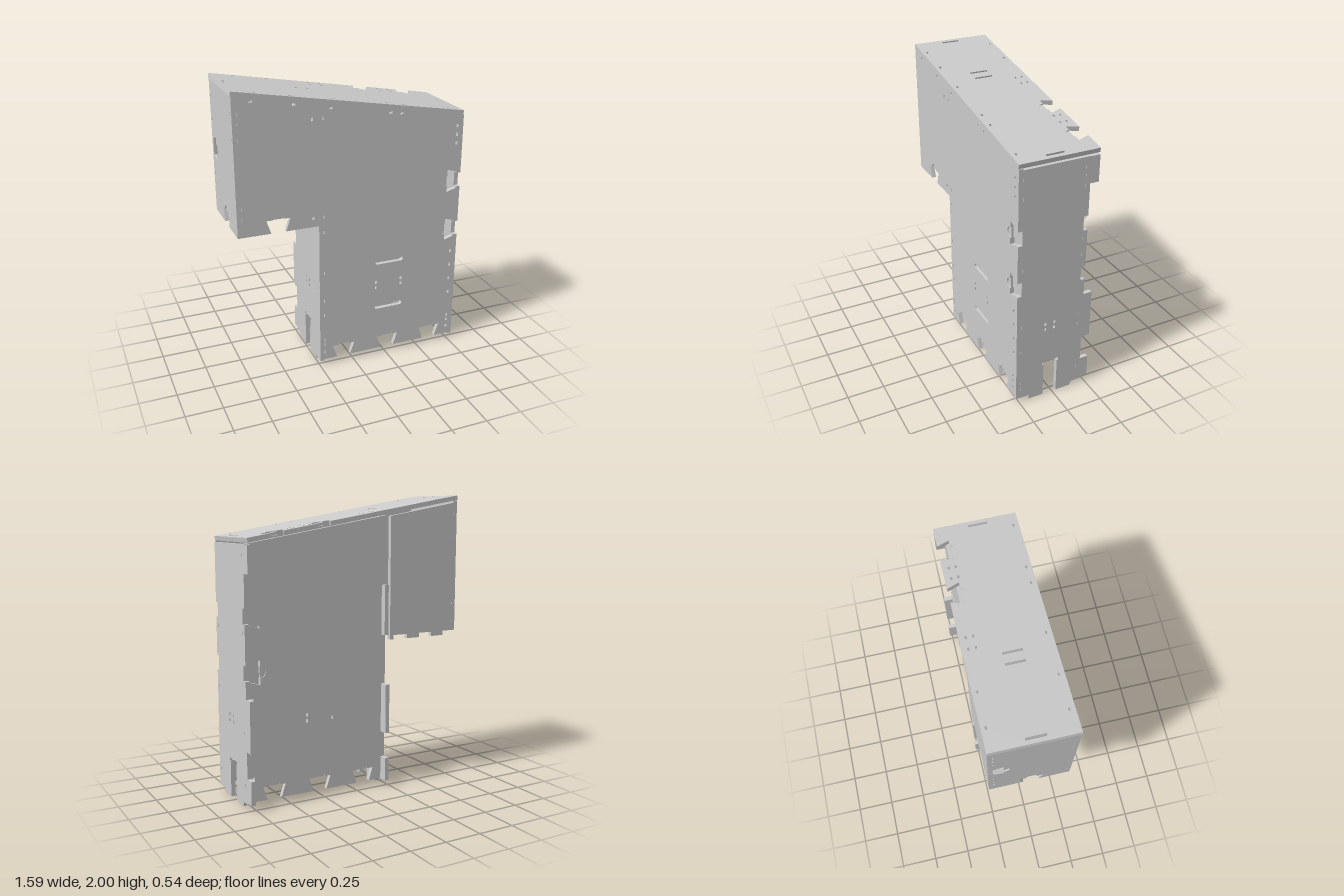
import * as THREE from 'three';

const T = 0.03; // sheet thickness
const mat = new THREE.MeshStandardMaterial({ color: 0xcccccc, flatShading: true, side: THREE.DoubleSide });
const vec = ([x, y]) => new THREE.Vector2(x, y);

// Dovetail notch with a half-round relief, cut into a counter-clockwise outline.
// (px,py) is its middle on the edge, (tx,ty) the direction of travel.
function dovetail(px, py, tx, ty, depth = 0.09) {
  const at = (u, v) => [px + tx * u - ty * v, py + ty * u + tx * v];
  const arc = [];
  for (let i = 0; i <= 12; i++) {
    const a = Math.PI * (1 - i / 12);
    arc.push(at(0.037 * Math.cos(a), depth + 0.037 * Math.sin(a)));
  }
  return { arc, pts: [at(-0.05, 0), at(-0.08, depth), ...arc, at(0.08, depth), at(0.05, 0)] };
}

function rectHole(x, y, w = 0.014, h = 0.022) {
  return new THREE.Path([[x - w / 2, y - h / 2], [x + w / 2, y - h / 2],
    [x + w / 2, y + h / 2], [x - w / 2, y + h / 2]].map(vec));
}

function roundSlot(x, y, w, r) {
  const p = new THREE.Path();
  p.absarc(x + w / 2 - r, y, r, -Math.PI / 2, Math.PI / 2);
  p.absarc(x - w / 2 + r, y, r, Math.PI / 2, Math.PI * 1.5);
  p.closePath();
  return p;
}

// Flat sheet; outline items are points or dovetails
function panel(name, outline, holes = []) {
  const group = new THREE.Group();
  group.name = name;
  const pts = outline.flatMap(o => (o.pts ? o.pts : [o]));
  const shape = new THREE.Shape(pts.map(vec));
  shape.holes.push(...holes);
  const add = (s, depth, z, n) => {
    const mesh = new THREE.Mesh(
      new THREE.ExtrudeGeometry(s, { depth, bevelEnabled: false, curveSegments: 8 }), mat);
    mesh.position.z = z;
    mesh.name = n;
    group.add(mesh);
  };
  add(shape, T, 0, name + 'Sheet');
  // half-round catch, thinner than the sheet
  for (const o of outline) if (o.arc) add(new THREE.Shape(o.arc.map(vec)), T / 2, T / 4, name + 'Catch');
  return group;
}

const column = (x, ys) => ys.map(y => rectHole(x, y));
const grid = (xs, ys) => xs.flatMap(x => column(x, ys));

// Upright sheet facing sideways: outline x becomes z, outer face at x
function sidePanel(name, x, outline, holes) {
  const p = panel(name, outline, holes);
  p.rotation.y = -Math.PI / 2;
  p.position.x = x;
  return p;
}

// Full-height side with a foot slot and stepped edges; steps are [low, high, z] from the top down
function wallOutline(top, frontCuts, backSteps) {
  return [[-0.21, 0.03], [-0.15, 0.03], [-0.135, 0], [-0.03, 0], [-0.03, 0.25], [-0.04, 0.25],
    [-0.04, 0.27], [0.08, 0.27], [0.08, 0.25], [0.07, 0.25], [0.07, 0], [0.175, 0],
    [0.175, 0.03], [0.27, 0.03],
    ...frontCuts.flatMap(([a, b]) => [[0.27, a], [0.24, a], [0.24, b], [0.27, b]]),
    [0.27, top], [-0.21, top],
    ...backSteps.flatMap(([a, b, z]) => [[-0.21, b], [z, b], [z, a], [-0.21, a]])];
}

export function createModel() {
  const model = new THREE.Group();
  model.name = 'cabinet';

  const bottomCuts = [-0.07, 0.265, 0.6].map(x => dovetail(x, 0.04, 1, 0));
  const edgeCuts = [0.885, 1.245].map(y => dovetail(0.79, y, 0, 1, 0.1));
  const bodyHoles = () => [
    ...column(-0.215, [0.1, 0.16, 0.195, 0.39, 0.5, 0.71, 1.01, 1.12, 1.78]),
    ...column(0.745, [0.1, 0.155, 0.195, 0.385, 0.495, 0.605, 0.71, 1.51, 1.57, 1.63]),
    ...grid([0.17, 0.36], [0.53, 0.57])];

  // Front sheet
  const front = panel('frontPanel', [[-0.245, 0.04], ...bottomCuts, [0.79, 0.04], ...edgeCuts,
    [0.79, 1.7], [-0.79, 1.97], [-0.79, 1.06], dovetail(-0.52, 1.06, 1, 0), [-0.245, 1.06]], [
    ...bodyHoles(),
    ...column(-0.765, [1.18, 1.25, 1.34, 1.7, 1.79, 1.86]),
    ...column(-0.285, [1.12, 1.78]),
    ...[[-0.67, 1.93], [-0.4, 1.885], [-0.16, 1.84], [0.25, 1.77], [0.33, 1.757]]
      .map(([x, y]) => rectHole(x, y, 0.022, 0.014)),
    roundSlot(0.267, 0.72, 0.21, 0.016), roundSlot(0.267, 0.375, 0.21, 0.016)]);
  front.position.z = 0.24;

  // Recessed back of the tall part
  const back = panel('backPanel', [[-0.245, 0.04], ...bottomCuts, [0.79, 0.04], ...edgeCuts,
    [0.79, 1.69], [-0.245, 1.865]], bodyHoles());
  back.position.z = -0.21;

  // Back of the overhang, with tabs below
  const tabs = [[-0.69, -0.59], [-0.485, -0.385]]
    .flatMap(([a, b]) => [[a, 1.06], [a, 1.03], [b, 1.03], [b, 1.06]]);
  const overhangBack = panel('overhangBack', [[-0.79, 1.06], ...tabs, [-0.275, 1.06],
    [-0.275, 1.03], [-0.245, 1.03], [-0.245, 1.86], [-0.79, 1.955]],
  column(-0.765, [1.18, 1.25, 1.34, 1.7, 1.79, 1.86]));
  overhangBack.position.z = -0.27;

  // Side walls of the tall part
  const wallHoles = () => [
    ...column(0.245, [0.1, 0.15, 0.4, 0.6, 0.73, 1.02, 1.14, 1.5, 1.575, 1.625]),
    ...column(-0.185, [0.1, 0.15, 0.39, 0.5, 0.58, 0.73, 1.02, 1.14, 1.5, 1.575, 1.625]),
    ...grid([0, 0.065], [0.53, 0.57])];
  const cuts = [[0.835, 0.935], [1.195, 1.295]];
  const leftWall = sidePanel('leftWall', 0.79, wallOutline(1.69, cuts, [[1.51, 1.688, -0.27],
    [1.195, 1.295, -0.18], [0.835, 0.935, -0.18], [0.38, 0.72, -0.27], [0.04, 0.2, -0.27]]), wallHoles());
  const rightWall = sidePanel('rightWall', -0.215, wallOutline(1.86, [],
    [[1.06, 1.4, -0.25], [0.38, 0.72, -0.27], [0.04, 0.2, -0.27]]), wallHoles());

  // End of the overhang
  const end = sidePanel('overhangEnd', -0.76, [[-0.27, 1.06], dovetail(0.01, 1.06, 1, 0),
    [0.27, 1.06], [0.27, 1.965], [-0.27, 1.965], dovetail(-0.27, 1.52, 0, -1, 0.1)],
  grid([-0.24, 0.245], [1.18, 1.25, 1.34, 1.7, 1.79, 1.86]));

  // Sloping lid: outline y becomes z, tilted down towards the left
  const slope = Math.atan2(-0.27, 1.58), k = 1 / Math.cos(slope);
  const lid = panel('lid', [[-0.79, -0.27], dovetail(0.265, -0.27, 1, 0, 0.08),
    dovetail(0.595, -0.27, 1, 0, 0.08), [0.79, -0.27], [0.79, 0.27], [-0.79, 0.27]], [
    ...[-0.64, -0.415, -0.13, 0.235, 0.355, 0.69].map(x => rectHole(x, 0.235, 0.022, 0.014)),
    ...[-0.64, -0.415].map(x => rectHole(x, -0.24, 0.022, 0.014)),
    ...[-0.13, -0.05, 0.385, 0.465].flatMap(x =>
      [-0.23, -0.185].map(z => rectHole(x, z, 0.022, 0.014))),
    ...[-0.755, -0.28, -0.205, 0.755].map(x => rectHole(x, 0.015, 0.016, 0.125))]);
  lid.rotation.x = Math.PI / 2;
  lid.scale.x = k;
  const lidTilt = new THREE.Group();
  lidTilt.name = 'slopingTop';
  lidTilt.add(lid);
  lidTilt.rotation.z = slope;
  lidTilt.position.y = 1.865;

  model.add(front, back, overhangBack, leftWall, rightWall, end, lidTilt);
  return model;
}
